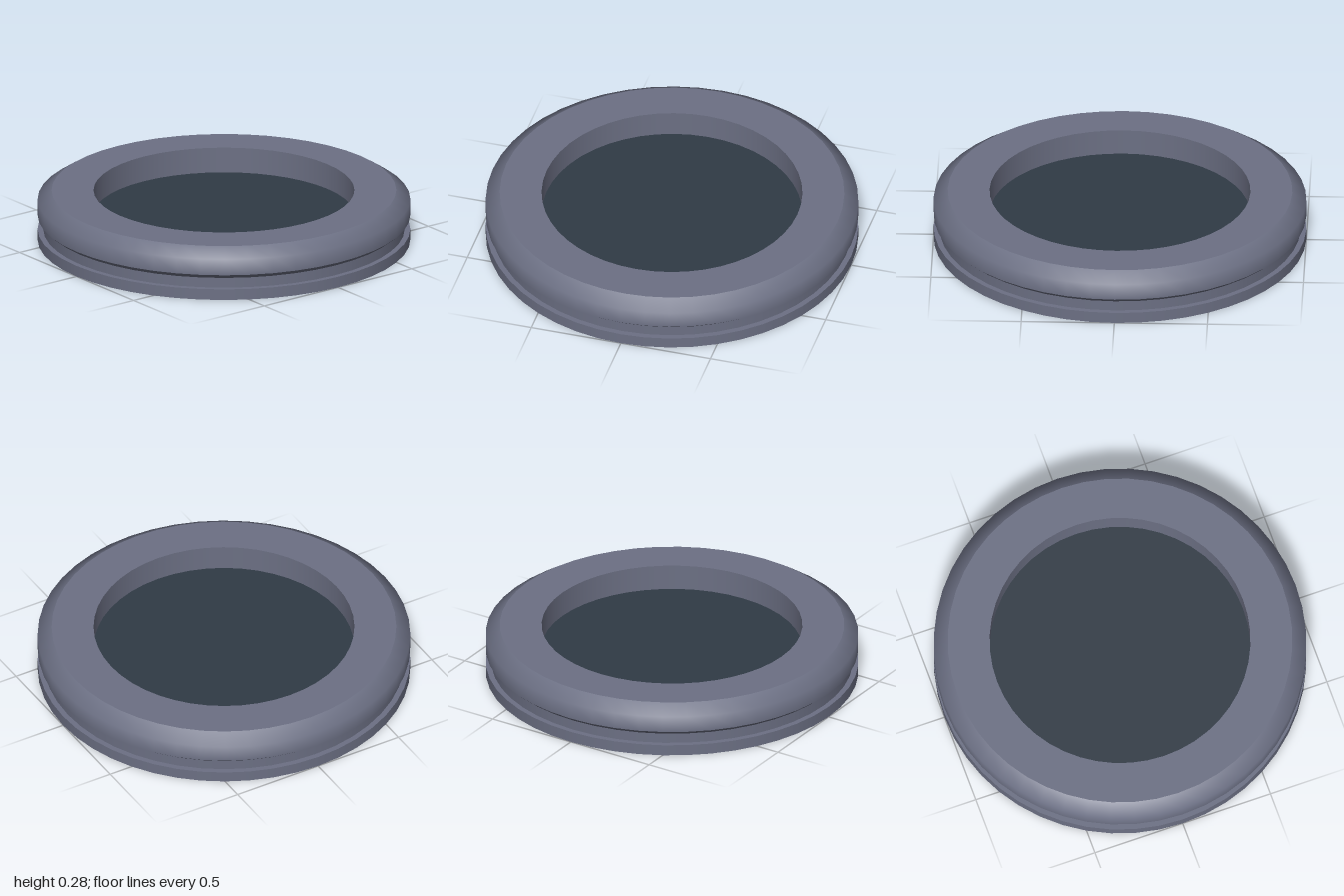
import * as THREE from 'three';

const SEGMENTS = 48;

export function createModel() {
  const body = new THREE.MeshStandardMaterial({ color: 0x6c7084 });
  body.name = 'slate grey';
  const dark = new THREE.MeshStandardMaterial({ color: 0x303a45 });
  dark.name = 'dark blue grey';

  const model = new THREE.Group();
  model.name = 'roundDish';

  // Each strip is one smooth band of the turned profile; strips meet at sharp edges.
  function addPart(name, material, strips) {
    const part = new THREE.Group();
    part.name = name;
    strips.forEach((strip, i) => {
      const points = strip.map(([r, y]) => new THREE.Vector2(r, y));
      const mesh = new THREE.Mesh(new THREE.LatheGeometry(points, SEGMENTS), material);
      mesh.name = `${name}Band${i + 1}`;
      part.add(mesh);
    });
    model.add(part);
  }

  // Bottom disc with its rim and upper ledge
  addPart('base', body, [
    [[0, 0], [1, 0]],
    [[1, 0], [1, 0.06]],
    [[1, 0.06], [0.97, 0.06]],
  ]);

  // Recessed groove with a flared underside
  addPart('groove', body, [
    [[0.97, 0.06], [0.97, 0.115]],
    [[0.97, 0.115], [1, 0.14]],
  ]);

  // Upper ring: softly shaded shoulder, flat top and inner wall
  addPart('ring', body, [
    [[1, 0.14], [1, 0.23], [0.925, 0.28]],
    [[0.925, 0.28], [0.7, 0.28]],
    [[0.7, 0.28], [0.7, 0.14]],
  ]);

  // Sunken floor inside the ring
  addPart('floor', dark, [[[0.7, 0.14], [0, 0.14]]]);

  return model;
}
